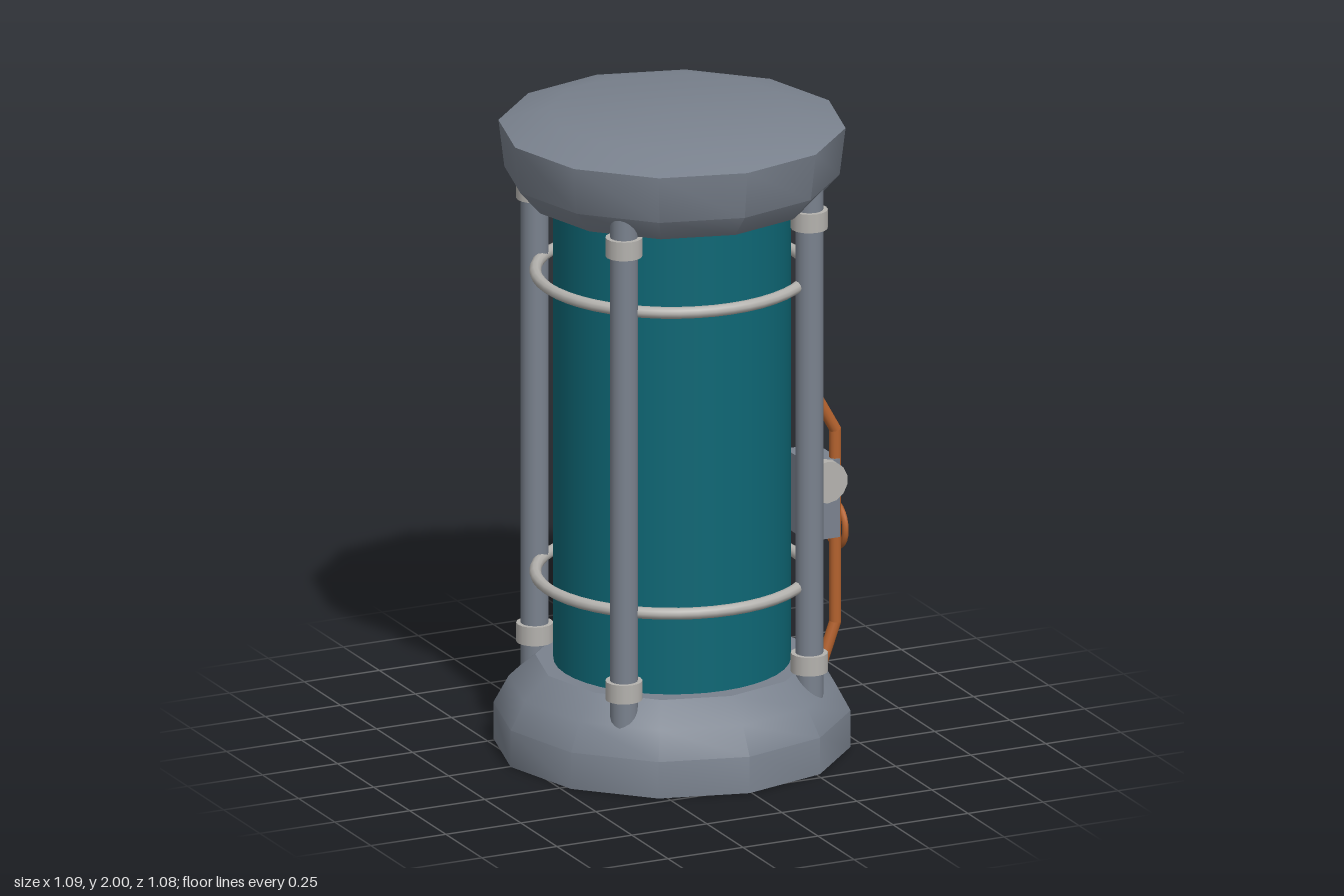
import * as THREE from 'three';
import { toCreasedNormals } from 'three/addons/utils/BufferGeometryUtils.js';

const material = (name, color) => {
  const m = new THREE.MeshStandardMaterial({ color });
  m.name = name;
  return m;
};

export function createModel() {
  const steel = material('slate steel', 0x7a828e);
  const teal = material('teal glass', 0x0e6775);
  const pale = material('pale metal', 0xb4b2ae);
  const copper = material('copper', 0xb4622e);

  const model = new THREE.Group();
  model.name = 'containmentTank';
  const add = (parent, name, geometry, mat, x = 0, y = 0, z = 0) => {
    const mesh = new THREE.Mesh(geometry, mat);
    mesh.name = name;
    mesh.position.set(x, y, z);
    parent.add(mesh);
    return mesh;
  };

  // Tank body, centred slightly off x = 0 because the pipework sticks out
  const tank = new THREE.Group();
  tank.name = 'tank';
  tank.position.set(-0.007, 0, 0.003);
  model.add(tank);

  // Twelve-sided base and cap with softened sides
  const turned = (profile) => toCreasedNormals(
    new THREE.LatheGeometry(profile.map(([r, y]) => new THREE.Vector2(r, y)), 12), 0.61);
  add(tank, 'base', turned([[0, 0], [0.538, 0], [0.538, 0.115], [0.492, 0.2], [0.412, 0.27], [0, 0.27]]), steel);
  add(tank, 'cap', turned([[0, 1.737], [0.44, 1.737], [0.505, 1.81], [0.523, 1.957], [0.372, 2], [0, 2]]), steel);

  // Glass cylinder
  add(tank, 'glassCylinder', new THREE.CylinderGeometry(0.357, 0.357, 1.52, 40, 1, true), teal, 0, 1.0, 0);

  // Guard rings around the glass
  for (const y of [0.543, 1.495]) {
    const ring = add(tank, 'guardRing', new THREE.TorusGeometry(0.411, 0.018, 10, 48), pale, 0, y, 0);
    ring.rotation.x = Math.PI / 2;
  }

  // Four corner posts with a collar at each end
  const postGeometry = new THREE.CylinderGeometry(0.042, 0.042, 1.66, 16);
  const collarGeometry = new THREE.CylinderGeometry(0.056, 0.056, 0.059, 16);
  for (const sx of [-1, 1]) for (const sz of [-1, 1]) {
    const x = sx * 0.309, z = sz * 0.309;
    add(tank, 'post', postGeometry, steel, x, 1.0, z);
    for (const y of [0.304, 1.706]) add(tank, 'collar', collarGeometry, pale, x, y, z);
  }

  // Side control unit: box, dial, bent pipe and hand wheel
  const control = new THREE.Group();
  control.name = 'controlUnit';
  model.add(control);
  add(control, 'controlBox', new THREE.BoxGeometry(0.106, 0.247, 0.16), steel, 0.451, 0.731, 0.025);
  const dial = add(control, 'dial', new THREE.CylinderGeometry(0.066, 0.066, 0.03, 14), pale, 0.451, 0.795, 0.117);
  dial.rotation.x = Math.PI / 2;

  const path = [[0.439, 1.05], [0.499, 0.943], [0.499, 0.335], [0.45, 0.2]]
    .map(([x, y]) => new THREE.Vector3(x, y, 0.082));
  const up = new THREE.Vector3(0, 1, 0);
  for (let i = 0; i < path.length - 1; i++) {
    const along = path[i].clone().sub(path[i + 1]);
    const mid = path[i].clone().add(path[i + 1]).multiplyScalar(0.5);
    const pipe = add(control, 'pipe', new THREE.CylinderGeometry(0.018, 0.018, along.length(), 12), copper, mid.x, mid.y, mid.z);
    pipe.quaternion.setFromUnitVectors(up, along.normalize());
    if (i > 0) add(control, 'pipeJoint', new THREE.SphereGeometry(0.018, 12, 8), copper, path[i].x, path[i].y, path[i].z);
  }
  const wheel = add(control, 'handWheel', new THREE.TorusGeometry(0.067, 0.0105, 8, 24), copper, 0.532, 0.62, 0.017);
  wheel.rotation.y = Math.PI / 2;

  return model;
}
